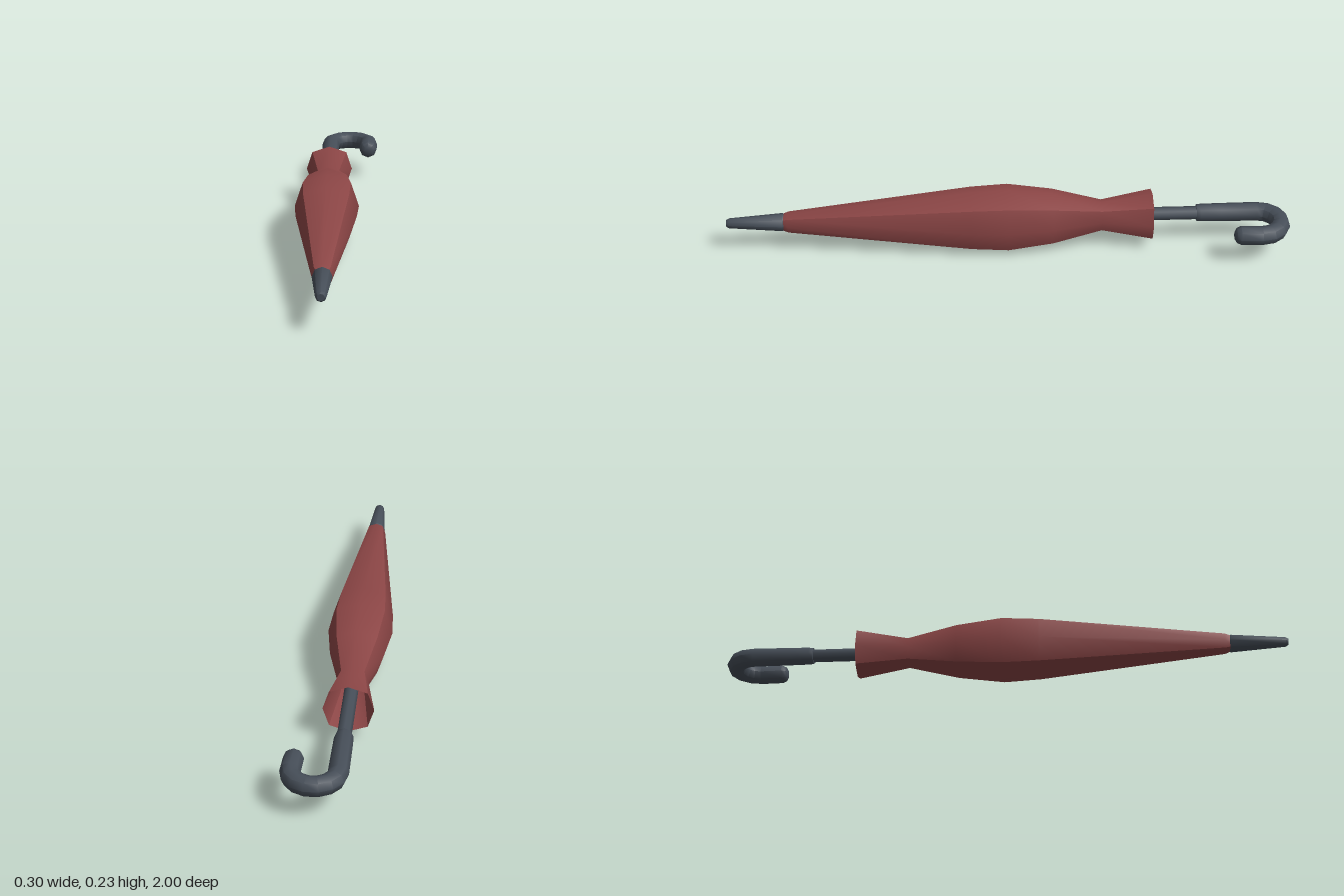
import * as THREE from 'three';
import { toCreasedNormals } from 'three/addons/utils/BufferGeometryUtils.js';

const AXIS_X = -0.037, AXIS_Y = 0.116, SIDES = 8;

// Skin a row of rings { x, z, r, turn }; turn is the heading in the horizontal
// plane (0 = towards the back). ridge widens the diagonal corners.
function loft(rings, ridge = 1) {
  const pos = [], index = [];
  rings.forEach(({ x = AXIS_X, z, r, turn = 0 }, k) => {
    for (let i = 0; i < SIDES; i++) {
      const a = (i / SIDES) * Math.PI * 2;
      const rr = r * (i % 2 ? ridge : 1);
      const u = Math.cos(a) * rr;
      pos.push(x + u * Math.cos(turn), AXIS_Y + Math.sin(a) * rr, z + u * Math.sin(turn));
      if (k === rings.length - 1) continue;
      const p = k * SIDES + i, q = k * SIDES + (i + 1) % SIDES;
      index.push(p, p + SIDES, q, q, p + SIDES, q + SIDES);
    }
  });
  const g = new THREE.BufferGeometry();
  g.setAttribute('position', new THREE.Float32BufferAttribute(pos, 3));
  g.setIndex(index);
  return toCreasedNormals(g, 0.81);
}

const straight = (pairs) => pairs.map(([z, r]) => ({ z, r }));

export function createModel() {
  const group = new THREE.Group();
  const red = new THREE.MeshStandardMaterial({ color: 0x8c4646, side: THREE.DoubleSide });
  const dark = new THREE.MeshStandardMaterial({ color: 0x464e58 });
  const add = (name, geometry, material) => {
    const mesh = new THREE.Mesh(geometry, material);
    mesh.name = name;
    group.add(mesh);
  };

  // Folded canopy, open at the flared back end
  add('canopy', loft(straight([
    [0.805, 0.026], [0.78, 0.036], [0.13, 0.107], [0, 0.114],
    [-0.16, 0.094], [-0.335, 0.053], [-0.515, 0.086],
  ]), 1.06), red);

  // Tapered tip with a rounded end
  add('tip', loft(straight([
    [1, 0], [1, 0.012], [0.99, 0.018], [0.8, 0.033], [0.79, 0.026], [0.79, 0],
  ])), dark);

  // Shaft running inside the canopy to the handle
  add('shaft', loft(straight([[0.1, 0], [0.1, 0.024], [-0.69, 0.024], [-0.69, 0]])), dark);

  // Crook handle: straight grip, half circle, short return with a rounded end
  const R = 0.076, cx = AXIS_X + R, cz = -0.89, r = 0.034;
  const handle = straight([[-0.675, 0], [-0.675, 0.03], [-0.69, 0.032], [-0.76, 0.033]]);
  const steps = 7;
  for (let i = 0; i <= steps; i++) {
    const turn = (i / steps) * Math.PI;
    handle.push({ x: cx - R * Math.cos(turn), z: cz - R * Math.sin(turn), r, turn });
  }
  [[-0.815, r], [-0.8, 0.027], [-0.793, 0.014], [-0.793, 0]].forEach(([z, rr]) =>
    handle.push({ x: cx + R - 0.003, z, r: rr, turn: Math.PI }));
  add('handle', loft(handle), dark);

  return group;
}
